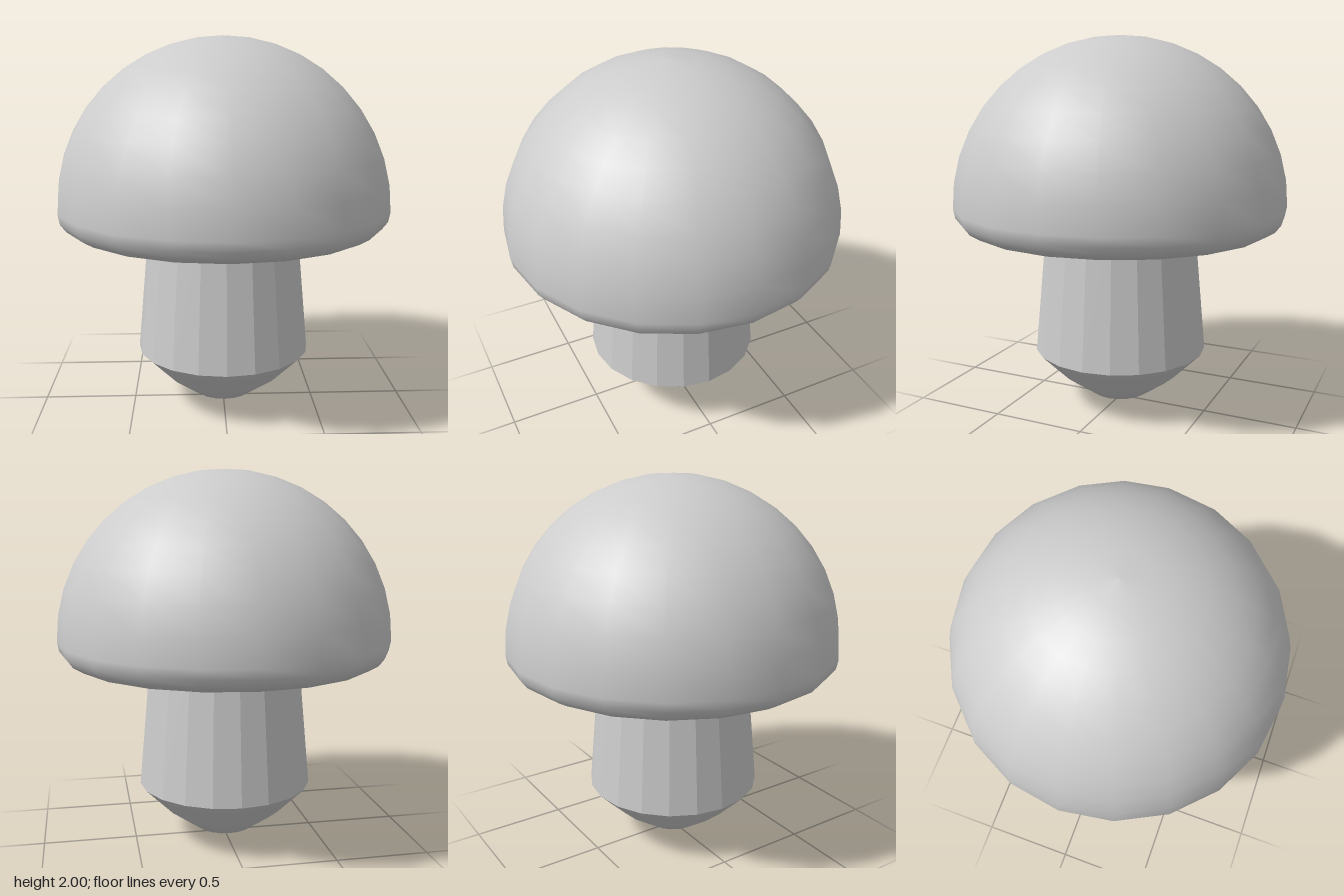
import * as THREE from 'three';

const SIDES = 20;

// Surface of revolution; profile runs bottom to top as [radius, y]
function lathe(profile) {
  return new THREE.LatheGeometry(profile.map(([r, y]) => new THREE.Vector2(r, y)), SIDES);
}

export function createModel() {
  const group = new THREE.Group();
  const grey = new THREE.MeshStandardMaterial({ color: 0xcccccc });
  grey.name = 'light grey';

  const add = (name, geometry) => {
    const mesh = new THREE.Mesh(geometry, grey);
    mesh.name = name;
    group.add(mesh);
    return mesh;
  };

  // Cap: hollowed underside, rounded rim, then a hemispherical dome
  const capProfile = [
    [0.36, 1.08], [0.5, 1.08], [0.6, 1.07], [0.68, 1.045], [0.74, 1.01],
    [0.8, 0.99], [0.85, 1.02], [0.88, 1.06],
  ];
  const domeRadius = 0.89, domeY = 1.11, rings = 10;
  for (let i = 0; i <= rings; i++) {
    const a = (i / rings) * Math.PI / 2;
    capProfile.push([i === rings ? 0 : domeRadius * Math.cos(a), domeY + domeRadius * Math.sin(a)]);
  }
  add('cap', lathe(capProfile));

  // Stem: tapered, faceted, its top end tucked inside the cap
  const stemGeometry = new THREE.CylinderGeometry(0.395, 0.47, 0.81, SIDES, 1, true).toNonIndexed();
  stemGeometry.computeVertexNormals();
  add('stem', stemGeometry).position.y = 0.31 + 0.405;

  // Base: smooth rounded point below the stem
  add('stemBase', lathe([[0, 0], [0.16, 0.045], [0.32, 0.16], [0.47, 0.31]]));

  return group;
}
